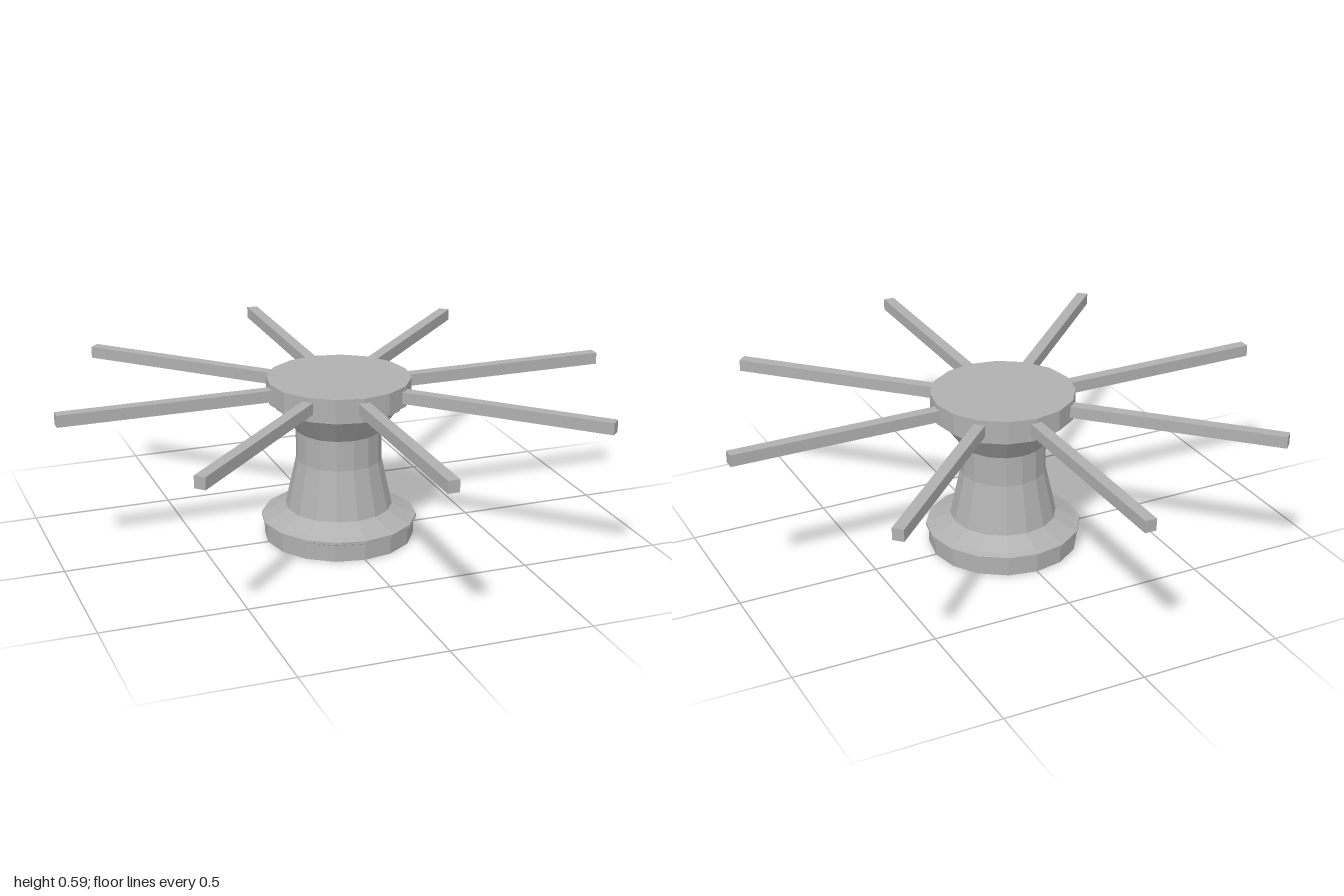
import * as THREE from 'three';

const SIDES = 16;

export function createModel() {
  const group = new THREE.Group();
  const grey = new THREE.MeshStandardMaterial({ color: 0xb0b0b0, flatShading: true });
  grey.name = 'plain grey';

  const add = (name, geometry, parent = group) => {
    const mesh = new THREE.Mesh(geometry, grey);
    mesh.name = name;
    parent.add(mesh);
    return mesh;
  };

  const turned = (name, profile) =>
    add(name, new THREE.LatheGeometry(profile.map(([r, y]) => new THREE.Vector2(r, y)), SIDES));

  // Foot with a projecting rim and a sloping shoulder
  turned('base', [[0, 0], [0.267, 0], [0.267, 0.06], [0.277, 0.065], [0.277, 0.075], [0.257, 0.082], [0.19, 0.115]]);

  // Tapered drum flaring out under the head
  turned('drum', [[0.19, 0.115], [0.152, 0.29], [0.152, 0.4], [0.215, 0.485], [0.23, 0.492], [0.23, 0.505], [0.222, 0.515]]);

  // Flat round head holding the bars
  add('head', new THREE.CylinderGeometry(0.254, 0.254, 0.075, SIDES)).position.y = 0.55;

  // Eight square bars radiating from the head
  const bars = new THREE.Group();
  bars.name = 'bars';
  group.add(bars);
  for (let i = 0; i < 8; i++) {
    const geometry = new THREE.BoxGeometry(0.775, 0.042, 0.04);
    geometry.translate(0.6125, 0.55, 0);
    add('bar', geometry, bars).rotation.y = (i * Math.PI) / 4;
  }
  return group;
}
